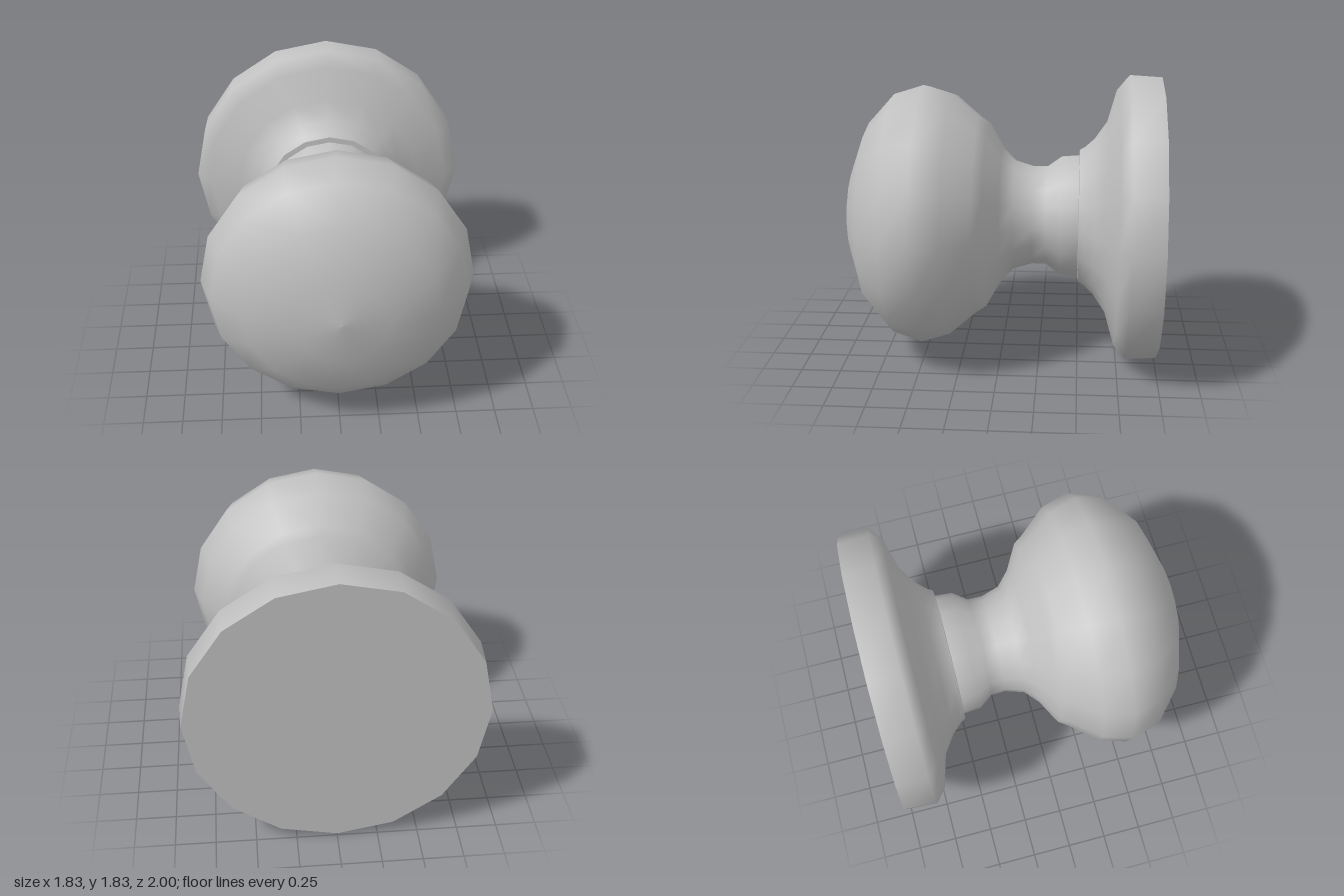
import * as THREE from 'three';

const SIDES = 16;
const AXIS_Y = 0.92;

export function createModel() {
  const group = new THREE.Group();
  group.name = 'doorKnob';
  const metal = new THREE.MeshStandardMaterial({ color: 0xc0c0c0 });
  metal.name = 'grey metal';

  // Turns a [radius, z] profile, listed from back to front, around the z axis
  const turn = (name, profile) => {
    const points = profile.map(([r, z]) => new THREE.Vector2(r, z));
    const mesh = new THREE.Mesh(new THREE.LatheGeometry(points, SIDES).rotateX(Math.PI / 2), metal);
    mesh.name = name;
    mesh.position.y = AXIS_Y;
    group.add(mesh);
  };

  // Flat back of the mounting plate
  turn('backFace', [[0, -1], [0.905, -1]]);

  // Stepped mounting plate
  turn('mountingPlate', [
    [0.905, -1], [0.917, -0.8], [0.83, -0.73], [0.62, -0.67],
    [0.505, -0.59], [0.45, -0.53], [0.43, -0.495],
  ]);

  // Small ledge where the neck enters the plate
  turn('plateLedge', [[0.43, -0.495], [0.36, -0.49]]);

  // Neck flowing into the rounded grip
  turn('neckAndGrip', [
    [0.395, -0.5], [0.385, -0.38], [0.32, -0.29], [0.318, -0.2],
    [0.355, -0.08], [0.44, 0], [0.6, 0.09], [0.64, 0.15],
    [0.785, 0.32], [0.84, 0.5], [0.78, 0.69], [0.59, 0.86],
    [0.29, 0.968], [0, 1],
  ]);

  return group;
}
